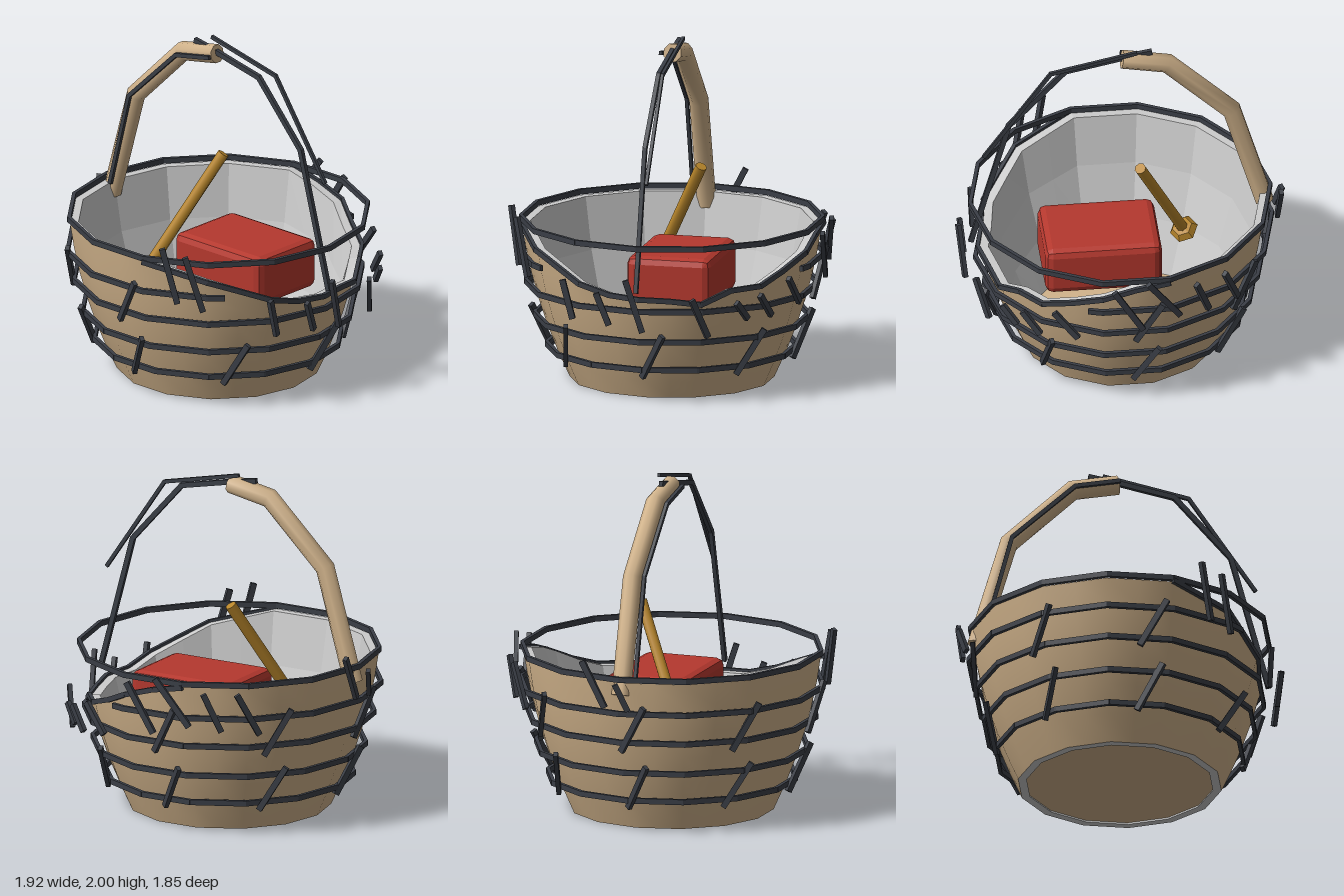
import * as THREE from 'three';
import { mergeGeometries } from 'three/addons/utils/BufferGeometryUtils.js';
import { RoundedBoxGeometry } from 'three/addons/geometries/RoundedBoxGeometry.js';

const SIDES = 14, CX = 0.01, CZ = 0.03;
const RAD = Math.PI / 180;
const V = (x, y, z) => new THREE.Vector3(x, y, z);

const tan = new THREE.MeshStandardMaterial({ color: 0xd2b48c, side: THREE.DoubleSide });
const grey = new THREE.MeshStandardMaterial({ color: 0xcccccc, flatShading: true, side: THREE.DoubleSide });
const dark = new THREE.MeshStandardMaterial({ color: 0x3a3e46 });
const red = new THREE.MeshStandardMaterial({ color: 0xb5382e, flatShading: true });
const ochre = new THREE.MeshStandardMaterial({ color: 0xb8862b });
const ochreFlat = new THREE.MeshStandardMaterial({ color: 0xb8862b, flatShading: true });

// Surface from a grid of points f(column, row); columns wrap round
function grid(cols, rows, f) {
  const pos = [], index = [];
  for (let i = 0; i < rows; i++)
    for (let j = 0; j < cols; j++) pos.push(...f(j, i).toArray());
  for (let i = 0; i < rows - 1; i++)
    for (let j = 0; j < cols; j++) {
      const k = (j + 1) % cols;
      const a = i * cols + j, b = a + cols, c = b - j + k, d = i * cols + k;
      index.push(a, b, c, a, c, d);
    }
  const g = new THREE.BufferGeometry();
  g.setAttribute('position', new THREE.Float32BufferAttribute(pos, 3));
  g.setIndex(index);
  g.computeVertexNormals();
  return g;
}

// Square bar that follows a polyline
function barGeometry(points, width, height) {
  const parts = [];
  for (let i = 0; i < points.length - 1; i++) {
    const a = points[i], b = points[i + 1];
    const o = new THREE.Object3D();
    o.position.copy(a).add(b).multiplyScalar(0.5);
    o.lookAt(b);
    o.updateMatrix();
    parts.push(new THREE.BoxGeometry(width, height, a.distanceTo(b) + width * 0.4).applyMatrix4(o.matrix));
  }
  return mergeGeometries(parts);
}

// Basket wall radius at a height, and a point on the many-sided wall
const wallRadius = (y) => 0.595 + 0.477 * y - 0.193 * y * y;
const around = (deg, r, y) => V(CX + r * Math.cos(deg * RAD), y, CZ + r * Math.sin(deg * RAD));

// Rim heights, two per side of the basket, starting at +x and turning to +z
const rim = new Array(28).fill(0.92);
[0.63, 0.64, 0.69, 0.76, 0.83, 0.875].forEach((h, j) => (rim[j] = h));
[0.88, 0.82, 0.74, 0.68, 0.67, 0.6, 0.62].forEach((h, j) => (rim[21 + j] = h));

function wallPoint(j, t, inset) {
  const y = t * rim[j];
  const flat = j % 2 ? Math.cos(Math.PI / SIDES) : 1;
  return around((j * 180) / SIDES, (wallRadius(y) - inset) * flat, y);
}

export function createModel() {
  const model = new THREE.Group();
  const add = (name, geometry, material, parent = model) => {
    const m = new THREE.Mesh(geometry, material);
    m.name = name;
    parent.add(m);
    return m;
  };
  const group = (name) => {
    const g = new THREE.Group();
    g.name = name;
    model.add(g);
    return g;
  };

  // Basket: smooth outside, faceted lining with rim and foot ring, floor
  add('basketOutside', grid(28, 7, (j, i) => wallPoint(j, i / 6, 0)), tan);
  add('basketLining', grid(28, 6, (j, i) => {
    if (i === 0) return wallPoint(j, 1, 0);
    if (i === 5) return wallPoint(j, 0, 0);
    return wallPoint(j, 1 - (i - 1) / 3, 0.05);
  }), grey);
  const floor = add('basketFloor', new THREE.CircleGeometry(0.555, SIDES), tan);
  floor.rotation.x = -Math.PI / 2;
  floor.position.set(CX, 0.012, CZ);

  // Bands: whole hoops, and one that stops at the broken side
  const bands = group('bands');
  const step = 360 / SIDES;
  const hoop = (y, r, from = 0, to = 360) => {
    const pts = [around(from, r, y)];
    for (let k = Math.floor(from / step) + 1; k * step < to; k++) pts.push(around(k * step, r, y));
    pts.push(around(to, r, y));
    add('band', barGeometry(pts, 0.022, 0.032), dark, bands);
  };
  hoop(0.19, 0.725);
  hoop(0.37, 0.795);
  hoop(0.56, 0.845);
  hoop(0.74, 0.885, 45, 288);
  hoop(0.94, 0.875);

  // Dark edge along the broken part of the rim
  const edge = [];
  for (let j = -8; j <= 6; j++) edge.push(wallPoint((j + 28) % 28, 1, -0.012));
  add('brokenRimEdge', barGeometry(edge, 0.022, 0.03), dark);

  // Slanted weave pegs: two regular rows and loose ones round the rim
  const pegs = group('weavePegs');
  const peg = (deg, y0, y1, r0, r1, lean) =>
    add('peg', barGeometry([around(deg + lean, r0, y0), around(deg - lean, r1, y1)], 0.026, 0.035), dark, pegs);
  for (let k = 0; k < 8; k++) peg(85 - 45 * k, 0.15, 0.41, 0.72, 0.815, 4.8);
  for (const deg of [85, 130, 175, 220, 265]) peg(deg, 0.51, 0.78, 0.84, 0.895, 4.8);
  const loose = [
    // angle, bottom, top, lean
    [65, 0.71, 1.04, -2.5], [56, 0.67, 1.0, -3], [27, 0.5, 0.72, -1.5], [12, 0.49, 0.67, -2],
    [0, 0.46, 0.76, -2.8], [-24, 0.43, 0.65, -3], [-40, 0.52, 0.62, -2.5], [-50, 0.52, 0.65, -3],
    [-64, 0.56, 0.72, -4], [-87, 0.64, 0.92, -5], [-100, 0.7, 0.97, -6], [-115, 0.68, 0.9, -3],
    [-128, 0.66, 0.9, -4], [189, 0.78, 1.04, -4], [178, 0.77, 0.92, -2]
  ];
  for (const [deg, y0, y1, lean] of loose) peg(deg, y0, y1, 0.91, 0.94, lean);

  // Handle: the surviving wooden half, mitred at its bends
  const path = [V(-0.83, 0.84, 0.03), V(-0.64, 1.5, 0.03), V(-0.265, 1.865, 0.03), V(0, 1.915, 0.03)];
  const handle = group('handle');
  const R = 0.056, last = path.length - 1;
  const dir = (i) => path[i + 1].clone().sub(path[i]).normalize();
  const tube = grid(8, path.length, (j, i) => {
    const d0 = dir(Math.max(i - 1, 0)), d1 = dir(Math.min(i, last - 1));
    const t = d0.clone().add(d1).normalize();
    const side = V(-t.y, t.x, 0).multiplyScalar(R / t.dot(d1));
    const a = (j / 8) * Math.PI * 2 + Math.PI / 8;
    return path[i].clone().addScaledVector(side, -Math.cos(a)).add(V(0, 0, R * Math.sin(a)));
  });
  add('handleWood', tube, tan, handle);
  for (const [i, s] of [[0, -1], [last, 1]]) {
    const cap = add('handleEnd', new THREE.CircleGeometry(R, 8, Math.PI / 8), tan, handle);
    cap.position.copy(path[i]);
    cap.lookAt(path[i].clone().addScaledVector(dir(Math.min(i, last - 1)), s));
  }

  // Dark strips: one beside the wood, two where the wood is missing
  const strips = group('handleStrips');
  const strip = (xy, z, width, height) =>
    add('strip', barGeometry(xy.map(([x, y]) => V(x, y, z)), width, height), dark, strips);
  strip([[-0.78, 0.93], [-0.63, 1.51], [-0.26, 1.86], [0, 1.91]], 0.1, 0.02, 0.024);
  strip([[-0.17, 1.955], [0, 1.925], [0.33, 1.855], [0.66, 1.49], [0.88, 0.68]], 0.03, 0.024, 0.03);
  strip([[-0.08, 1.985], [0.42, 1.875], [0.81, 1.31]], -0.015, 0.018, 0.022);

  // Red block lying in the basket
  const block = add('redBlock', new RoundedBoxGeometry(0.68, 0.3, 0.5, 1, 0.045), red);
  block.position.set(0.14, 0.65, -0.06);

  // Mallet-like stick with a faceted knob at its foot
  const stick = group('knobbedStick');
  const foot = V(-0.385, 0.5, 0.25), tip = V(-0.09, 1.23, -0.12);
  stick.position.copy(foot);
  stick.quaternion.setFromUnitVectors(V(0, 1, 0), tip.clone().sub(foot).normalize());
  const length = foot.distanceTo(tip);
  add('stickShaft', new THREE.CylinderGeometry(0.034, 0.034, length, 8).translate(0, length / 2, 0), ochre, stick);
  add('stickKnob', new THREE.SphereGeometry(0.085, 6, 4).scale(1, 0.65, 1), ochreFlat, stick);

  return model;
}
